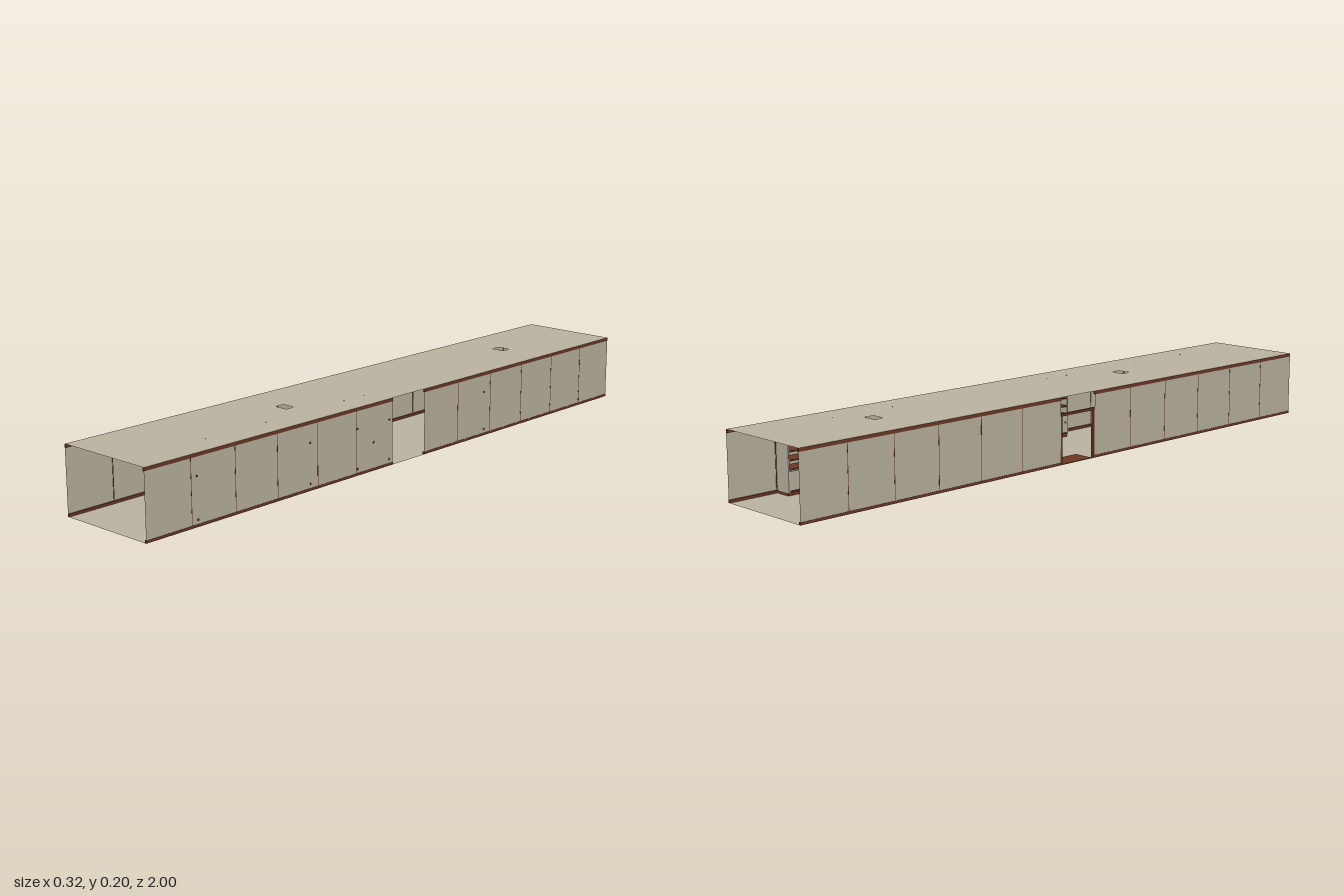
import * as THREE from 'three';

const plaster = new THREE.MeshStandardMaterial({ color: 0xbdb5a2, side: THREE.DoubleSide });
plaster.name = 'plaster';
const wood = new THREE.MeshStandardMaterial({ color: 0x6e3a26 });
wood.name = 'wood';

const W = 0.157, H = 0.2, GAP = 0.07;

export function createModel() {
  const root = new THREE.Group();
  root.name = 'corridor';

  const add = (parent, name, geo, mat) => {
    const mesh = new THREE.Mesh(geo, mat);
    mesh.name = name;
    parent.add(mesh);
    return mesh;
  };
  // Box given by its minimum and maximum on each axis
  const box = (parent, name, mat, x0, x1, y0, y1, z0, z1) => {
    const mesh = add(parent, name, new THREE.BoxGeometry(x1 - x0, y1 - y0, z1 - z0), mat);
    mesh.position.set((x0 + x1) / 2, (y0 + y1) / 2, (z0 + z1) / 2);
    return mesh;
  };

  // Floor and ceiling sheets; the ceiling has two rectangular hatches
  const sheet = () => new THREE.Shape([[-W, -1], [W, -1], [W, 1], [-W, 1]].map(p => new THREE.Vector2(...p)));
  const floor = add(root, 'floor', new THREE.ShapeGeometry(sheet()), plaster);
  floor.rotation.x = -Math.PI / 2;
  const roof = sheet();
  for (const z of [-0.63, 0.35]) {
    const hole = [[-0.021, -0.015], [-0.021, 0.015], [0.021, 0.015], [0.021, -0.015]];
    roof.holes.push(new THREE.Path(hole.map(([x, y]) => new THREE.Vector2(x, y - z))));
  }
  const ceiling = add(root, 'ceiling', new THREE.ShapeGeometry(roof), plaster);
  ceiling.rotation.x = -Math.PI / 2;
  ceiling.position.y = H;

  // Four wall runs with crown, baseboard and panel seams
  for (const sx of [-1, 1]) for (const sz of [-1, 1]) {
    const run = new THREE.Group();
    run.name = (sx > 0 ? 'left' : 'right') + (sz > 0 ? 'Front' : 'Back') + 'Wall';
    const z0 = sz > 0 ? GAP : -1, z1 = sz > 0 ? 1 : -GAP;
    const wall = add(run, 'wallPanel', new THREE.PlaneGeometry(z1 - z0, H), plaster);
    wall.rotation.y = sx * Math.PI / 2;
    wall.position.set(sx * W, H / 2, (z0 + z1) / 2);
    const strip = (name, inner, outer, y0, y1, a, b) =>
      box(run, name, wood, Math.min(sx * inner, sx * outer), Math.max(sx * inner, sx * outer), y0, y1, a, b);
    strip('crown', 0.152, 0.158, 0.19, 0.1995, z0, z1);
    strip('baseboard', 0.152, 0.158, 0.0005, 0.008, z0, z1);
    for (let i = 1; i < 6; i++) {
      const z = sz * (GAP + i * 0.155);
      strip('panelSeam', 0.1555, 0.1573, 0.008, 0.19, z - 0.001, z + 0.001);
    }
    root.add(run);
  }

  // Doorway frame on the right wall, with a flat mat
  const door = new THREE.Group();
  door.name = 'doorway';
  box(door, 'doorHeader', wood, -0.158, -0.149, 0.144, 0.151, -GAP, GAP);
  for (const s of [-1, 1])
    box(door, 'doorPost', wood, -0.157, -0.15, 0, 0.144, s * 0.067 - 0.004, s * 0.067 + 0.004);
  box(door, 'doorMat', wood, -0.155, -0.09, 0.0002, 0.0015, -0.06, 0.06);
  root.add(door);

  // Shelving units along the left wall: z start, z end, bays
  for (const [z0, z1, bays] of [[0.41, 0.825, 4], [0.085, 0.22, 1], [-0.845, -0.35, 5]]) {
    const unit = new THREE.Group();
    unit.name = 'shelvingUnit';
    box(unit, 'plinth', wood, 0.105, 0.155, -0.0006, 0.008, z0, z1);
    box(unit, 'counterTop', wood, 0.096, 0.155, 0.143, 0.148, z0 - 0.003, z1 + 0.003);
    box(unit, 'backPanel', plaster, 0.15, 0.154, 0.008, 0.143, z0, z1);
    const step = (z1 - z0) / bays;
    for (let i = 0; i <= bays; i++) {
      const z = Math.min(Math.max(z0 + i * step, z0 + 0.002), z1 - 0.002);
      box(unit, 'upright', plaster, 0.101, 0.15, 0.008, 0.143, z - 0.002, z + 0.002);
    }
    for (const y of [0.008, 0.07, 0.095, 0.12])
      box(unit, 'shelf', wood, 0.102, 0.15, y, y + 0.004, z0 + 0.004, z1 - 0.004);
    for (let i = 0; i < bays; i++) {
      const a = z0 + i * step + 0.004, b = z0 + (i + 1) * step - 0.004;
      box(unit, 'cupboardDoor', plaster, 0.101, 0.104, 0.014, 0.068, a, b);
      const knob = add(unit, 'knob', new THREE.CylinderGeometry(0.002, 0.002, 0.007, 8), plaster);
      knob.rotation.z = Math.PI / 2;
      knob.position.set(0.0975, 0.047, b - 0.01);
    }
    // Wall fixings that show outside
    const fixings = [[z0, 0.02], [z0, 0.138], [z1, 0.02], [z1, 0.138]];
    if (bays === 1) fixings.push([(z0 + z1) / 2, 0.085]);
    for (const [z, y] of fixings)
      box(unit, 'wallFixing', wood, 0.154, 0.159, y - 0.0025, y + 0.0025, z - 0.0025, z + 0.0025);
    root.add(unit);
  }

  // Pendant lamps above the counters
  const shade = [[0, 0], [0.016, 0], [0.0175, 0.0015], [0.0175, 0.0045], [0.016, 0.006], [0, 0.006]];
  const shadeGeo = new THREE.LatheGeometry(shade.map(p => new THREE.Vector2(...p)), 20);
  for (const z of [0.72, 0.5, 0.19, 0.105, -0.5, -0.71]) {
    const lamp = new THREE.Group();
    lamp.name = 'pendantLamp';
    add(lamp, 'lampShade', shadeGeo, plaster).position.y = 0.171;
    add(lamp, 'lampStem', new THREE.CylinderGeometry(0.0013, 0.0013, 0.025, 8), wood).position.y = 0.1885;
    lamp.position.set(0.078, 0, z);
    root.add(lamp);
  }

  return root;
}
